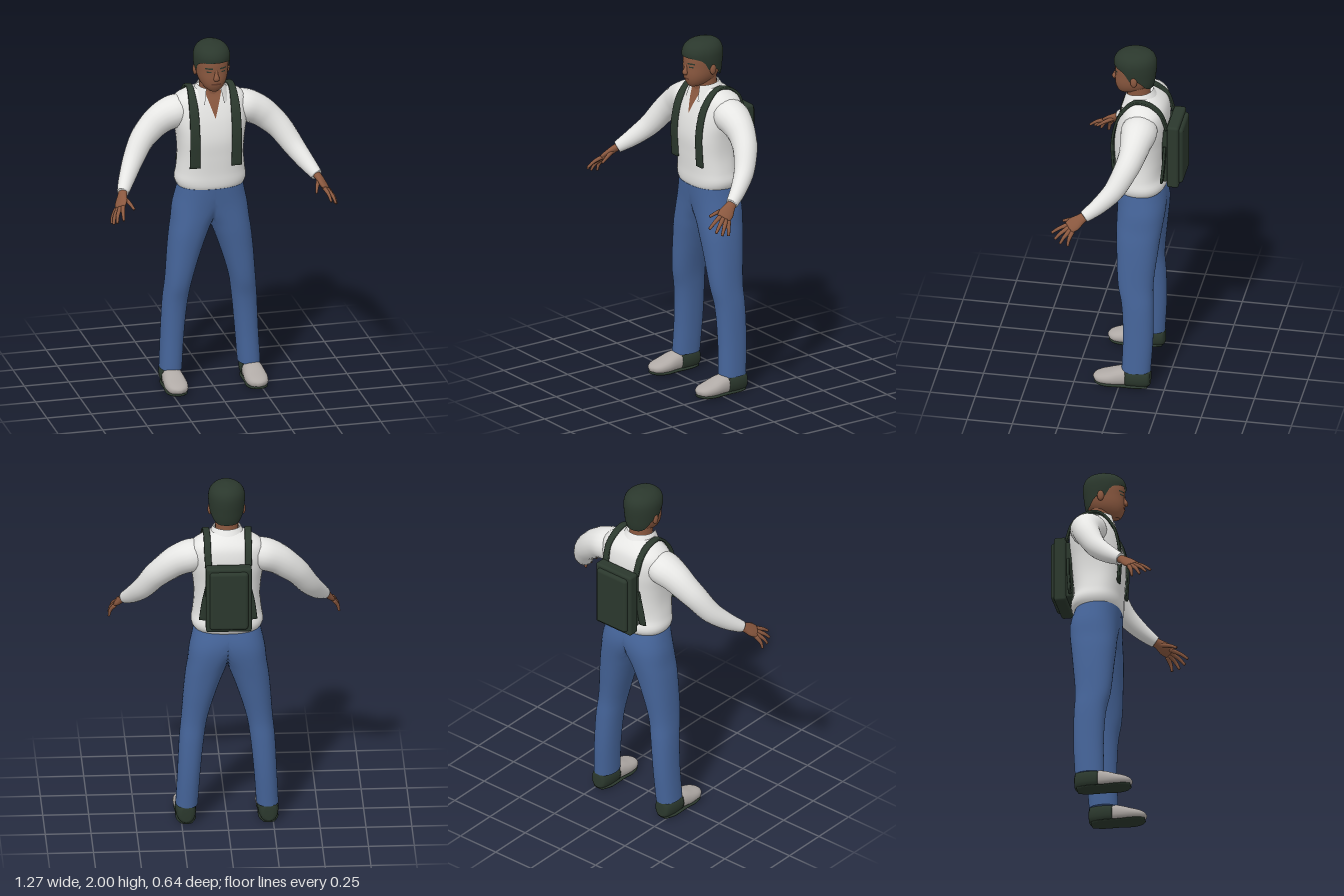
import * as THREE from 'three';
import { RoundedBoxGeometry } from 'three/addons/geometries/RoundedBoxGeometry.js';

const mat = (name, color, side = THREE.FrontSide) => {
  const m = new THREE.MeshStandardMaterial({ color, side });
  m.name = name;
  return m;
};
const pow = (c, e) => Math.sign(c) * Math.abs(c) ** e;

// Smooth interpolation through rows keyed by their first number
function spline(rows) {
  const size = rows[0].length - 1;
  const it = new THREE.CubicInterpolant(rows.map(r => r[0]), rows.flatMap(r => r.slice(1)), size, new Float32Array(size));
  return t => Array.from(it.evaluate(t));
}

// Surface from rows of points; each row is a closed ring when closed is true
function skinRows(rows, closed) {
  const n = rows[0].length, index = [], pos = [];
  rows.forEach(r => r.forEach(p => pos.push(...p)));
  for (let j = 0; j < rows.length - 1; j++)
    for (let i = 0; i < (closed ? n : n - 1); i++) {
      const a = j * n + i, b = j * n + (i + 1) % n;
      index.push(a, a + n, b, b, a + n, b + n);
    }
  const g = new THREE.BufferGeometry();
  g.setAttribute('position', new THREE.Float32BufferAttribute(pos, 3));
  g.setIndex(index);
  g.computeVertexNormals();
  return g;
}
const grid = (nu, nv, fn) => skinRows(Array.from({ length: nv + 1 }, (_, j) =>
  Array.from({ length: nu + 1 }, (_, i) => fn(i / nu, j / nv))), false);

// Upright body from rows [y, centreX, centreZ, radiusX, radiusZ, squareness]
function loft(rows, n = 32, steps = 30, minX = -9) {
  const f = spline(rows), y0 = rows[0][0], y1 = rows.at(-1)[0], out = [];
  for (let j = 0; j <= steps; j++) {
    const y = y0 + (y1 - y0) * j / steps, [cx, cz, rx, rz, e] = f(y);
    out.push(Array.from({ length: n }, (_, i) => {
      const a = i / n * Math.PI * 2;
      return [Math.max(minX, cx + rx * pow(Math.cos(a), e)), y, cz + rz * pow(Math.sin(a), e)];
    }));
  }
  const cap = r => r.map(() => [f(r[0][1])[0], r[0][1], f(r[0][1])[1]]);
  return skinRows([cap(out[0]), out[0], ...out, out.at(-1), cap(out.at(-1))], true);
}

// Limb along points [x, y, z, radius along ref, other radius]
function limb(points, ref, n = 16, e = 1, steps = points.length * 4) {
  const f = spline(points.map((p, i) => [i, ...p])), last = points.length - 1, out = [];
  const at = t => new THREE.Vector3(...f(t));
  for (let j = 0; j <= steps; j++) {
    const t = last * j / steps, c = at(t), [, , , ra, rb] = f(t);
    const T = at(Math.min(last, t + 0.02)).sub(at(Math.max(0, t - 0.02))).normalize();
    const N = new THREE.Vector3(...ref).addScaledVector(T, -T.dot(new THREE.Vector3(...ref))).normalize();
    const B = N.clone().cross(T);
    out.push(Array.from({ length: n }, (_, i) => {
      const a = i / n * Math.PI * 2;
      return c.clone().addScaledVector(N, ra * pow(Math.cos(a), e)).addScaledVector(B, rb * pow(Math.sin(a), e)).toArray();
    }));
  }
  const tip = p => Array.from({ length: n }, () => p.slice(0, 3));
  return skinRows([tip(points[0]), ...out, tip(points[last])], true);
}

function mirrored(geo) {
  const g = geo.clone().scale(-1, 1, 1), ix = g.index.array;
  for (let i = 0; i < ix.length; i += 3) [ix[i], ix[i + 1]] = [ix[i + 1], ix[i]];
  return g;
}

// Front z of a loft at (x, y)
const frontOf = rows => {
  const f = spline(rows);
  return (x, y) => {
    const [cx, cz, rx, rz, e] = f(y);
    return cz + rz * Math.max(0, 1 - Math.abs((x - cx) / rx) ** (2 / e)) ** (e / 2);
  };
};

export function createModel() {
  const model = new THREE.Group();
  model.name = 'standingManWithBackpack';
  const skin = mat('brown skin', 0x8a583f, THREE.DoubleSide), lip = mat('lip brown', 0x653c2c);
  const white = mat('white shirt', 0xe6e6e4, THREE.DoubleSide), denim = mat('blue denim', 0x456499);
  const dark = mat('dark green', 0x2b382d, THREE.DoubleSide), grey = mat('shoe grey', 0xb0aaa6);
  const add = (name, geo, m) => {
    const mesh = new THREE.Mesh(geo, m);
    mesh.name = name;
    model.add(mesh);
  };
  const pair = (name, geo, m) => { add(name + 'Left', geo, m); add(name + 'Right', mirrored(geo), m); };

  // Shirt body
  const torso = [
    [1.155, 0, -0.083, 0.176, 0.124, 0.85], [1.17, 0, -0.085, 0.187, 0.135, 0.85], [1.2, 0, -0.085, 0.197, 0.14, 0.85],
    [1.25, 0, -0.078, 0.19, 0.134, 0.85], [1.35, 0, -0.076, 0.181, 0.138, 0.8], [1.45, 0, -0.079, 0.188, 0.145, 0.8],
    [1.55, 0, -0.091, 0.205, 0.141, 0.8], [1.62, 0, -0.1, 0.208, 0.128, 0.8], [1.67, 0, -0.102, 0.19, 0.11, 0.85],
    [1.7, 0, -0.095, 0.145, 0.09, 0.95], [1.725, 0, -0.08, 0.09, 0.07, 1]];
  const chestZ = frontOf(torso);
  add('shirtBody', loft(torso, 40, 40), white);

  // Open neckline and folded collar
  add('necklineSkin', grid(8, 12, (u, v) => {
    const y = 1.575 + 0.145 * v, x = 0.048 * v * (1 - 2 * u);
    return [x, y, chestZ(x, y) + 0.004];
  }), skin);
  add('collar', grid(40, 4, (u, v) => {
    const t = 0.55 + u * (Math.PI * 2 - 1.1), f = ((1 + Math.cos(t)) / 2) ** 2, r = 0.076 + 0.028 * v;
    return [Math.sin(t) * r, 1.75 - 0.015 * f - v * (0.045 + 0.045 * f), -0.065 + Math.cos(t) * r];
  }), white);

  // Sleeves
  pair('sleeve', limb([
    [0.13, 1.6, -0.1, 0.08, 0.09], [0.2, 1.585, -0.1, 0.09, 0.1], [0.27, 1.555, -0.095, 0.085, 0.086],
    [0.33, 1.51, -0.085, 0.078, 0.074], [0.39, 1.45, -0.06, 0.069, 0.066], [0.45, 1.36, -0.01, 0.06, 0.056],
    [0.5, 1.29, 0.06, 0.049, 0.045], [0.535, 1.245, 0.12, 0.037, 0.036], [0.545, 1.232, 0.14, 0.033, 0.031]],
  [0.3, 1, 0], 20), white);

  // Hands: palm, four fingers, thumb
  const across = [0.035, -0.03, -0.03];
  pair('palm', limb([
    [0.54, 1.24, 0.125, 0.025, 0.021], [0.553, 1.222, 0.155, 0.03, 0.02],
    [0.567, 1.197, 0.188, 0.041, 0.018], [0.58, 1.176, 0.218, 0.038, 0.013]], across), skin);
  const fingers = {
    indexFinger: [[0.563, 1.19, 0.215], [0.577, 1.166, 0.27], [0.583, 1.135, 0.312]],
    middleFinger: [[0.576, 1.18, 0.213], [0.603, 1.15, 0.258], [0.614, 1.115, 0.29]],
    ringFinger: [[0.588, 1.17, 0.206], [0.616, 1.135, 0.237], [0.626, 1.097, 0.258]],
    littleFinger: [[0.597, 1.162, 0.195], [0.62, 1.125, 0.21], [0.628, 1.088, 0.216]],
    thumb: [[0.55, 1.215, 0.165], [0.527, 1.197, 0.218], [0.512, 1.175, 0.262]],
  };
  for (const [name, p] of Object.entries(fingers))
    pair(name, limb(p.map((q, i) => [...q, 0.0135 - i * 0.003, 0.0125 - i * 0.003]), across, 10), skin);

  // Trousers: each half runs from cuff to waist and meets the other at x = 0
  const half = loft([
    [0.1, 0.22, -0.09, 0.061, 0.08, 0.9], [0.3, 0.208, -0.098, 0.063, 0.083, 0.9], [0.5, 0.193, -0.092, 0.068, 0.088, 0.9],
    [0.6, 0.18, -0.08, 0.071, 0.096, 0.9], [0.8, 0.143, -0.082, 0.093, 0.113, 0.9], [0.9, 0.119, -0.085, 0.106, 0.122, 0.88],
    [0.95, 0.104, -0.088, 0.113, 0.126, 0.88], [1.05, 0.058, -0.092, 0.148, 0.132, 0.88], [1.1, 0.03, -0.088, 0.165, 0.132, 0.87],
    [1.165, 0, -0.077, 0.181, 0.126, 0.85]], 36, 40, 0);
  const P = half.attributes.position, N = half.attributes.normal;
  for (let i = 0; i < P.count; i++)
    if (P.getX(i) < 1e-4 && Math.abs(N.getZ(i)) > 1e-3) N.setXYZ(i, 0, N.getY(i), N.getZ(i));
  pair('trouserLeg', half, denim);

  // Shoes: dark heel, light upper, dark sole
  const shoe = rows => limb(rows.map(r => [0.225, ...r]), [1, 0, 0], 20, 0.85);
  pair('shoeHeel', shoe([[0.06, -0.17, 0.025, 0.04], [0.06, -0.155, 0.046, 0.054], [0.061, -0.1, 0.056, 0.06],
    [0.059, -0.035, 0.057, 0.056]]), dark);
  pair('shoeUpper', shoe([[0.062, -0.045, 0.056, 0.054], [0.057, 0, 0.06, 0.049], [0.048, 0.05, 0.064, 0.04],
    [0.042, 0.1, 0.058, 0.031], [0.039, 0.13, 0.04, 0.022], [0.036, 0.145, 0.012, 0.01]]), grey);
  pair('shoeSole', shoe([[0.011, -0.155, 0.035, 0.011], [0.011, -0.1, 0.054, 0.011], [0.011, 0, 0.055, 0.011],
    [0.011, 0.06, 0.06, 0.011], [0.014, 0.11, 0.05, 0.011], [0.02, 0.138, 0.025, 0.009]]), dark);

  // Neck and head
  add('neck', loft([[1.6, 0, -0.07, 0.066, 0.062, 1], [1.7, 0, -0.066, 0.063, 0.064, 1], [1.8, 0, -0.06, 0.064, 0.066, 1]], 24, 8), skin);
  const head = [
    [1.732, 0, 0.006, 0.024, 0.032, 0.9], [1.745, 0, -0.008, 0.045, 0.056, 0.9], [1.77, 0, -0.026, 0.066, 0.086, 0.92],
    [1.8, 0, -0.036, 0.079, 0.101, 0.92], [1.85, 0, -0.043, 0.087, 0.107, 0.92], [1.9, 0, -0.046, 0.091, 0.111, 0.95],
    [1.94, 0, -0.046, 0.086, 0.104, 1], [1.975, 0, -0.05, 0.055, 0.07, 1]];
  const faceZ = frontOf(head);
  add('head', loft(head, 32, 30), skin);
  add('nose', limb([[0, 1.865, 0.054, 0.009, 0.008], [0, 1.84, 0.063, 0.01, 0.01], [0, 1.818, 0.07, 0.017, 0.014],
    [0, 1.806, 0.066, 0.014, 0.008]], [1, 0, 0], 12), skin);
  pair('ear', new THREE.SphereGeometry(1, 12, 10).scale(0.012, 0.031, 0.019).translate(0.092, 1.838, -0.052), skin);

  // Thin painted face details
  const plate = (x0, x1, y0, y1) => grid(8, 2, (u, v) => {
    const x = x1 + (x0 - x1) * u, y = y0 + (y1 - y0) * v;
    return [x, y, faceZ(x, y) + 0.003];
  });
  pair('eyebrow', plate(0.02, 0.06, 1.87, 1.878), dark);
  pair('eye', plate(0.028, 0.052, 1.851, 1.858), dark);
  add('mouth', plate(-0.027, 0.027, 1.778, 1.788), lip);

  // Hair cap with a hairline that drops behind the ears
  const hairline = spline([[0, 1.908], [0.8, 1.9], [1.15, 1.88], [1.35, 1.83], [1.6, 1.845], [1.9, 1.825], [2.2, 1.79], [3.15, 1.775]]);
  const hair = spline([[1.76, -0.07, 0.07, 0.07], [1.8, -0.062, 0.086, 0.09], [1.85, -0.052, 0.095, 0.107],
    [1.9, -0.046, 0.1, 0.118], [1.94, -0.046, 0.097, 0.115], [1.97, -0.049, 0.08, 0.096], [1.99, -0.052, 0.048, 0.06], [2, -0.053, 0, 0]]);
  add('hair', grid(48, 18, (u, v) => {
    const t = (u * 2 - 1) * Math.PI, y0 = hairline(Math.abs(t))[0], y = y0 + (2 - y0) * Math.sin(v * Math.PI / 2);
    const [cz, rx, rz] = hair(y);
    return [-Math.sin(t) * rx, y, cz + Math.cos(t) * rz];
  }), dark);

  // Backpack with front pocket and back padding
  const box = (name, w, h, d, z, r) => add(name, new RoundedBoxGeometry(w, h, d, 3, r).translate(0, 1.4, z), dark);
  box('backpackBody', 0.25, 0.38, 0.066, -0.272, 0.014);
  box('backpackPocket', 0.21, 0.34, 0.05, -0.301, 0.018);
  box('backpackPadding', 0.22, 0.33, 0.04, -0.23, 0.01);

  // Shoulder straps follow the chest, cross the shoulder and drop to the pack
  const chestPart = [1.3, 1.38, 1.46, 1.54, 1.62].map((y, i) =>
    [0.117, y, chestZ(0.117, y) + 0.014, 0.03 - i * 0.001, 0.008]);
  pair('shoulderStrap', limb([...chestPart,
    [0.117, 1.685, -0.012, 0.022, 0.008], [0.116, 1.722, -0.055, 0.019, 0.008], [0.114, 1.728, -0.1, 0.019, 0.008],
    [0.112, 1.71, -0.155, 0.019, 0.008], [0.112, 1.66, -0.207, 0.019, 0.008], [0.108, 1.57, -0.238, 0.019, 0.008]],
  [1, 0, 0], 16, 0.5), dark);
  pair('lowerStrap', limb([[0.115, 1.46, -0.228, 0.008, 0.008], [0.125, 1.36, -0.224, 0.02, 0.008], [0.138, 1.25, -0.215, 0.022, 0.008]],
    [1, 0, 0], 12, 0.5), dark);

  return model;
}
